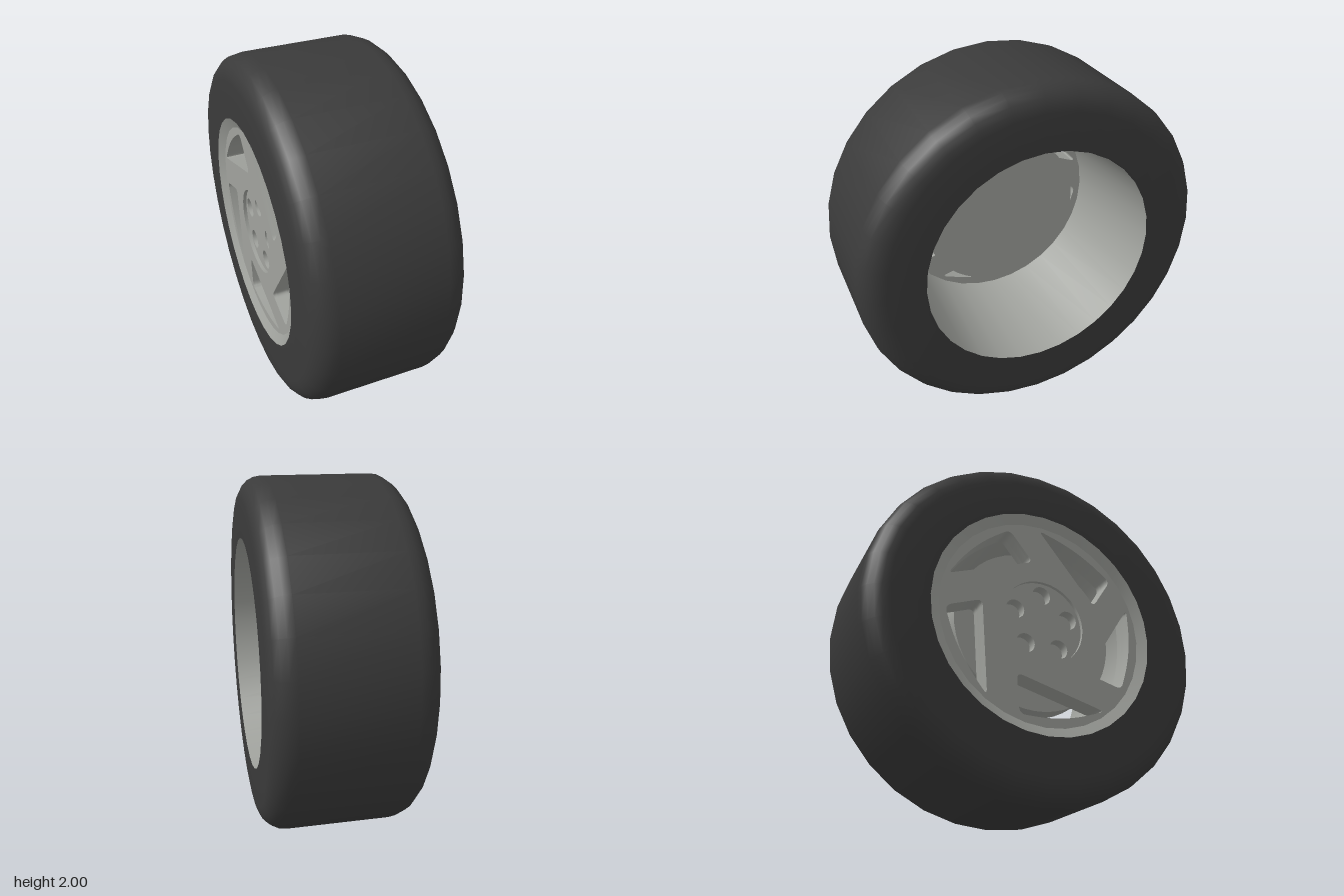
import * as THREE from 'three';
import { toCreasedNormals } from 'three/addons/utils/BufferGeometryUtils.js';

const SIDES = 32;
const TURN = Math.PI * 2 / 5;

// Surface of revolution around the x axis; points are [radius, x]
function spin(points, material, name) {
  const profile = points.map(([r, x]) => new THREE.Vector2(r, x));
  const geometry = new THREE.LatheGeometry(profile, SIDES).rotateZ(-Math.PI / 2);
  const mesh = new THREE.Mesh(toCreasedNormals(geometry, 0.6), material);
  mesh.name = name;
  return mesh;
}

function circle(radius, cx = 0, cy = 0, sides = SIDES) {
  const points = [];
  for (let i = 0; i < sides; i++) {
    const a = i / sides * Math.PI * 2;
    points.push(new THREE.Vector2(cx + radius * Math.cos(a), cy + radius * Math.sin(a)));
  }
  return points;
}

// Slanted window opening with rounded corners, turned about the axle
function windowHole(angle) {
  const origin = new THREE.Vector2();
  // each corner: z, y, rounding
  const corners = [[-0.02, 0.585, 0.04], [0.24, 0.51, 0.16], [0.445, 0.36, 0.04], [0.325, 0.17, 0.04]];
  const pts = corners.map(([z, y]) => new THREE.Vector2(-z, y).rotateAround(origin, angle));
  const path = new THREE.Path();
  pts.forEach((p, i) => {
    const toward = (q) => p.clone().add(q.clone().sub(p).setLength(corners[i][2]));
    const start = toward(pts[(i + 3) % 4]);
    const end = toward(pts[(i + 1) % 4]);
    if (i === 0) path.moveTo(start.x, start.y);
    else path.lineTo(start.x, start.y);
    path.quadraticCurveTo(p.x, p.y, end.x, end.y);
  });
  path.closePath();
  return path;
}

// One slice of the wheel face between two x positions
function faceLayer(x0, x1, extraHoles, material, name) {
  const shape = new THREE.Shape(circle(0.605));
  for (let i = 0; i < 5; i++) shape.holes.push(windowHole(i * TURN));
  shape.holes.push(...extraHoles);
  const geometry = new THREE.ExtrudeGeometry(shape, { depth: x1 - x0, bevelEnabled: false, curveSegments: 6 });
  geometry.rotateY(Math.PI / 2).translate(x0, 0, 0);
  const mesh = new THREE.Mesh(toCreasedNormals(geometry, 0.6), material);
  mesh.name = name;
  return mesh;
}

export function createModel() {
  const rubber = new THREE.MeshStandardMaterial({ color: 0x3a3a3a });
  rubber.name = 'rubber';
  const metal = new THREE.MeshStandardMaterial({ color: 0xa0a29d });
  metal.name = 'metal';

  const wheel = new THREE.Group();
  wheel.name = 'wheel';

  // Tire: flat sidewalls, rounded shoulders, flat tread
  const half = [];
  for (let i = 0; i <= 5; i++) {
    const a = i / 5 * Math.PI / 2;
    half.push([0.87 + 0.13 * Math.sin(a), 0.29 + 0.13 * Math.cos(a)]);
  }
  const near = half.map(([r, x]) => [r, -x]);
  const far = half.slice().reverse();
  wheel.add(spin([[0.66, -0.42], ...near, ...far, [0.66, 0.42]], rubber, 'tire'));

  // Rim: long inner barrel and short outer lip
  wheel.add(spin([[0.66, 0.42], [0.605, -0.27]], metal, 'rimBarrel'));
  wheel.add(spin([[0.605, -0.39], [0.66, -0.42]], metal, 'rimLip'));

  // Wheel face: recessed hub, lug pockets and five windows
  const lugs = [];
  for (let i = 0; i < 5; i++) {
    const a = Math.PI / 2 + i * TURN;
    lugs.push(new THREE.Path(circle(0.055, 0.17 * Math.cos(a), 0.17 * Math.sin(a), 20)));
  }
  wheel.add(faceLayer(-0.39, -0.37, [new THREE.Path(circle(0.245))], metal, 'spokeFace'));
  wheel.add(faceLayer(-0.37, -0.31, lugs, metal, 'hubWithLugHoles'));
  wheel.add(faceLayer(-0.31, -0.27, [], metal, 'spokeBack'));

  // Round plate behind the spokes
  const plate = new THREE.Mesh(new THREE.CylinderGeometry(0.475, 0.475, 0.12, 48).rotateZ(-Math.PI / 2), metal);
  plate.position.x = -0.21;
  plate.name = 'backPlate';
  wheel.add(plate);

  // Stand the wheel on the ground
  wheel.children.forEach((part) => { part.position.y = 1; });
  return wheel;
}
